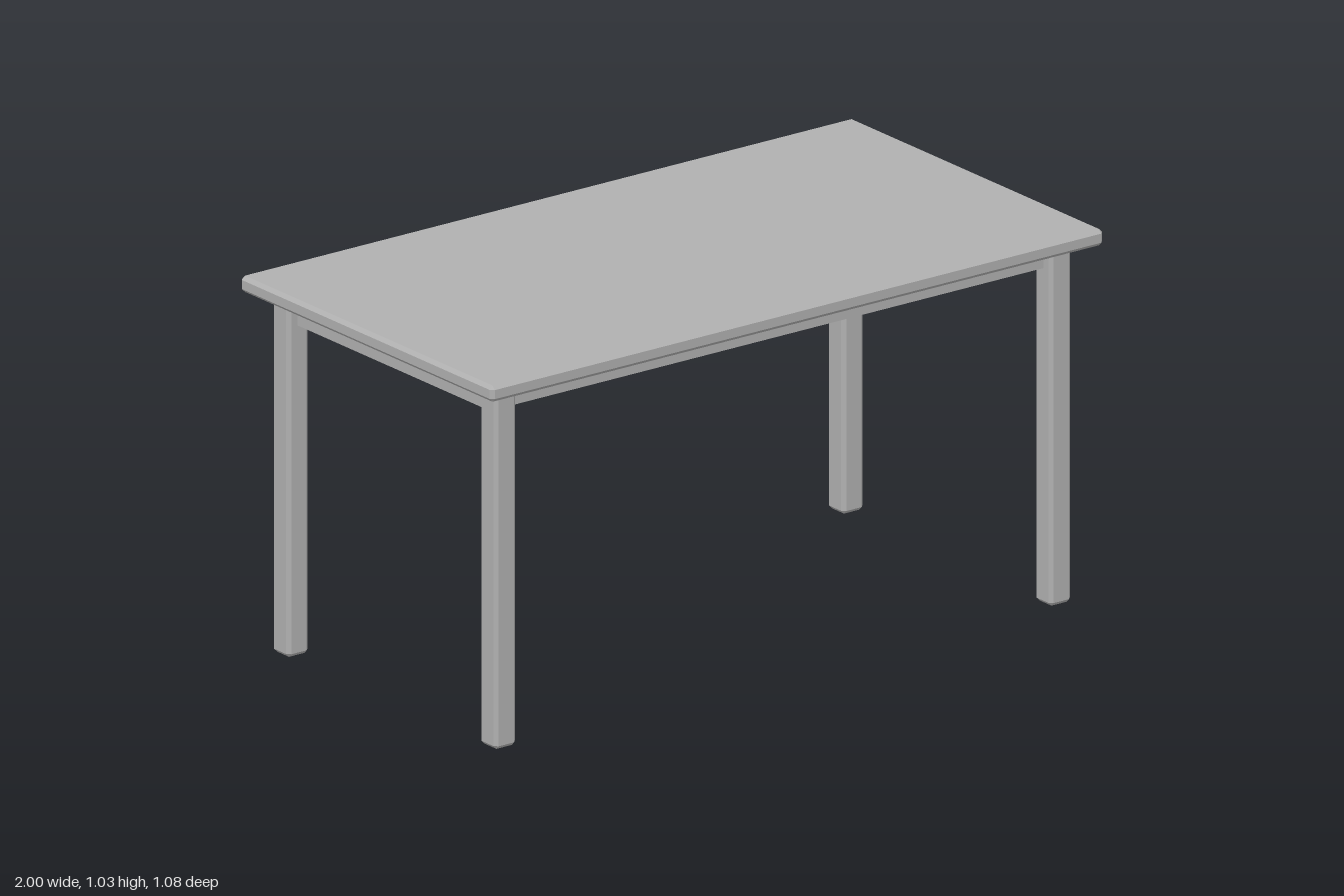
import * as THREE from 'three';
import { ConvexGeometry } from 'three/addons/geometries/ConvexGeometry.js';

// Box with every edge chamfered by c
function chamferedBox(w, h, d, c) {
  const points = [];
  const x = w / 2, y = h / 2, z = d / 2;
  for (const sx of [-1, 1]) for (const sy of [-1, 1]) for (const sz of [-1, 1]) {
    points.push(
      new THREE.Vector3(sx * x, sy * (y - c), sz * (z - c)),
      new THREE.Vector3(sx * (x - c), sy * y, sz * (z - c)),
      new THREE.Vector3(sx * (x - c), sy * (y - c), sz * z)
    );
  }
  return new ConvexGeometry(points);
}

export function createModel() {
  const table = new THREE.Group();
  table.name = 'table';
  const grey = new THREE.MeshStandardMaterial({ color: 0xb0b0b0 });
  grey.name = 'grey';

  function add(name, geometry, x, y, z) {
    const mesh = new THREE.Mesh(geometry, grey);
    mesh.name = name;
    mesh.position.set(x, y, z);
    table.add(mesh);
  }

  const underside = 0.988, legX = 0.906, legZ = 0.444, legSize = 0.07;

  // Tabletop
  add('tabletop', chamferedBox(2, 0.045, 1.08, 0.01), 0, underside + 0.0225, 0);

  // Four legs
  const leg = chamferedBox(legSize, underside, legSize, 0.01);
  for (const sx of [-1, 1]) for (const sz of [-1, 1]) {
    add((sz > 0 ? 'front' : 'back') + (sx > 0 ? 'Left' : 'Right') + 'Leg',
      leg, sx * legX, underside / 2, sz * legZ);
  }

  // Rails under the top, inner faces flush with the legs; the end rails are deeper
  const t = 0.04, longH = 0.06, endH = 0.075;
  const inset = (legSize - t) / 2;
  const longRail = new THREE.BoxGeometry(legX * 2, longH, t);
  const endRail = new THREE.BoxGeometry(t, endH, legZ * 2);
  for (const s of [-1, 1]) {
    add(s > 0 ? 'frontRail' : 'backRail', longRail, 0, underside - longH / 2, s * (legZ - inset));
    add(s > 0 ? 'leftRail' : 'rightRail', endRail, s * (legX - inset), underside - endH / 2, 0);
  }

  return table;
}
